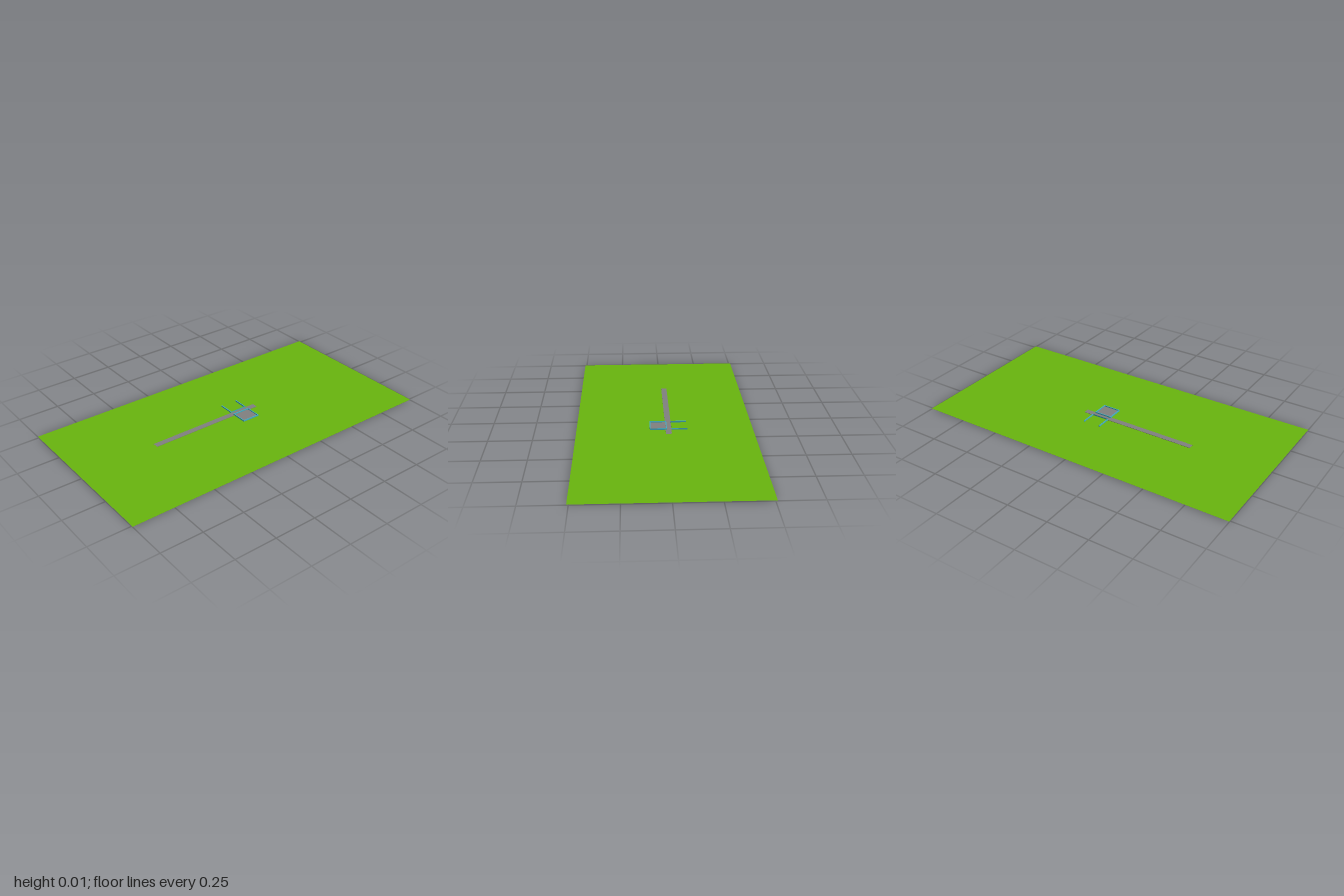
import * as THREE from 'three';

const mat = (name, color, side = THREE.FrontSide) =>
  new THREE.MeshStandardMaterial({ name, color, side });

export function createModel() {
  const group = new THREE.Group();
  const grass = mat('grass green', 0x68b50e, THREE.DoubleSide);
  const paving = mat('paving grey', 0x808080, THREE.DoubleSide);
  const wall = mat('wall blue', 0x45b0c4, THREE.DoubleSide);
  const GROUND = 0.003;

  const add = (name, geometry, material, x, y, z) => {
    const mesh = new THREE.Mesh(geometry, material);
    mesh.name = name;
    mesh.position.set(x, y, z);
    group.add(mesh);
  };
  // Horizontal sheet between two corners
  const sheet = (name, material, x0, x1, z0, z1, y) =>
    add(name, new THREE.PlaneGeometry(x1 - x0, z1 - z0).rotateX(-Math.PI / 2),
      material, (x0 + x1) / 2, y, (z0 + z1) / 2);
  // Vertical sheet running along z
  const upright = (name, material, x, z0, z1, y0, y1) =>
    add(name, new THREE.PlaneGeometry(z1 - z0, y1 - y0).rotateY(Math.PI / 2),
      material, x, (y0 + y1) / 2, (z0 + z1) / 2);
  // Low wall block
  const block = (name, x0, x1, z0, z1) =>
    add(name, new THREE.BoxGeometry(x1 - x0, 0.008, z1 - z0), wall,
      (x0 + x1) / 2, 0.008, (z0 + z1) / 2);

  // Lawn
  sheet('lawn', grass, -0.51, 0.51, -1, 1, GROUND);

  // Path with thin kerbs that reach through the lawn
  sheet('path', paving, -0.038, -0.004, -0.2, 0.52, 0.005);
  for (const x of [-0.038, -0.004]) upright('pathKerb', paving, x, -0.2, 0.52, 0, 0.005);

  // Open bay beside the path
  const t = 0.005;
  for (const z of [-0.14, -0.035]) block('bayWall', -0.13, -0.038, z, z + t);
  upright('bayBackWall', wall, -0.0385, -0.14, -0.03, 0.004, 0.012);

  // Enclosed paved yard on the other side
  sheet('yardFloor', paving, -0.01, 0.087, -0.14, -0.03, 0.006);
  for (const z of [-0.14, -0.035]) block('yardWall', -0.012, 0.087, z, z + t);
  for (const x of [-0.012, 0.082]) block('yardSideWall', x, x + t, -0.135, -0.035);

  return group;
}
